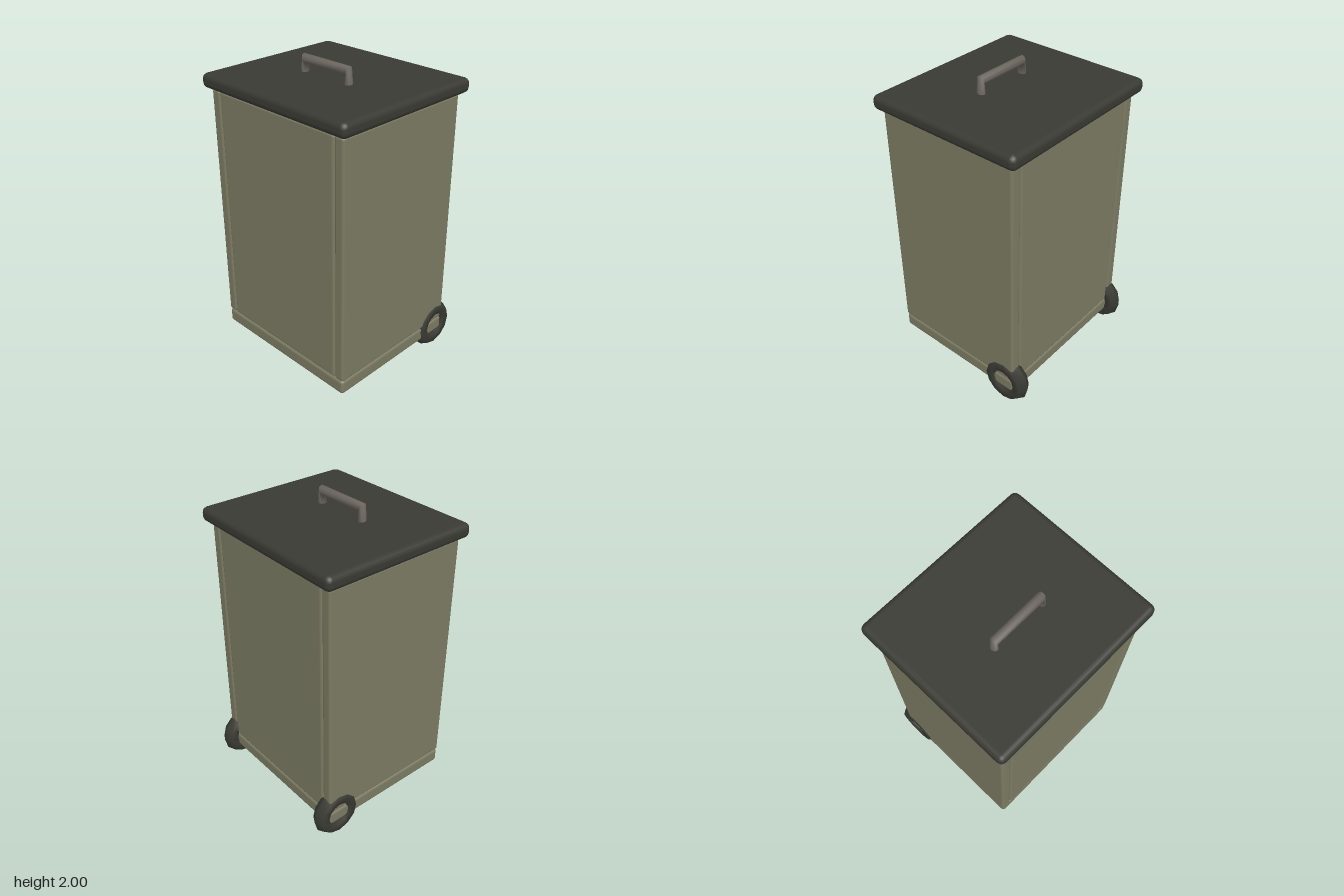
import * as THREE from 'three';
import { RoundedBoxGeometry } from 'three/addons/geometries/RoundedBoxGeometry.js';

const material = (name, color) => {
  const m = new THREE.MeshStandardMaterial({ color });
  m.name = name;
  return m;
};

// Rounded box given by its minimum and maximum corners
function slab(name, min, max, radius, mat) {
  const size = max.map((v, i) => v - min[i]);
  const mesh = new THREE.Mesh(new RoundedBoxGeometry(...size, 2, radius), mat);
  mesh.position.set(...min.map((v, i) => (v + max[i]) / 2));
  mesh.name = name;
  return mesh;
}

// Handle skinned over oval rings: [centre x, centre y, outward x, outward y]
function handleGeometry() {
  const rings = [
    [-0.178, 1.88, -0.024, 0],
    [-0.178, 1.972, -0.008, 0.028],
    [0.178, 1.972, 0.008, 0.028],
    [0.178, 1.88, 0.024, 0],
  ];
  const sides = 8, halfDepth = 0.028, pos = [], index = [];
  rings.forEach(([cx, cy, ux, uy], r) => {
    for (let s = 0; s < sides; s++) {
      const a = (s / sides) * Math.PI * 2;
      pos.push(cx + ux * Math.cos(a), cy + uy * Math.cos(a), halfDepth * Math.sin(a));
      if (r === rings.length - 1) continue;
      const p = r * sides + s, q = r * sides + (s + 1) % sides;
      index.push(p, p + sides, q, q, p + sides, q + sides);
    }
  });
  // Orient faces outward: a positive signed volume means correct winding
  const v = (i) => new THREE.Vector3().fromArray(pos, i * 3).sub(new THREE.Vector3(0, 1.972, 0));
  const a = v(index[sides * 6]), b = v(index[sides * 6 + 1]), c = v(index[sides * 6 + 2]);
  const normal = b.clone().sub(a).cross(c.clone().sub(a));
  if (normal.y < 0) index.reverse();
  const geo = new THREE.BufferGeometry();
  geo.setAttribute('position', new THREE.Float32BufferAttribute(pos, 3));
  geo.setIndex(index);
  geo.computeVertexNormals();
  return geo;
}

export function createModel() {
  const olive = material('olive body', 0x7b7a62);
  const dark = material('dark rubber', 0x3a3a34);
  const metal = material('warm grey metal', 0x6b655f);

  const bin = new THREE.Group();
  bin.name = 'wheeledBin';

  // Floor, front and back walls
  bin.add(
    slab('floor', [-0.548, 0.1, -0.46], [0.548, 0.2, 0.508], 0.022, olive),
    slab('frontWall', [-0.477, 0.2, 0.438], [0.477, 1.795, 0.508], 0.018, olive),
    slab('backWall', [-0.477, 0.2, -0.46], [0.477, 1.795, -0.39], 0.018, olive),
  );

  // Side walls and wheels, mirrored
  const wheelGeo = new THREE.TorusGeometry(0.111, 0.054, 6, 12).rotateY(Math.PI / 2);
  for (const [side, s] of [['left', 1], ['right', -1]]) {
    const xs = [s * 0.479, s * 0.55].sort((a, b) => a - b);
    bin.add(slab(side + 'Wall', [xs[0], 0.2, -0.46], [xs[1], 1.795, 0.508], 0.018, olive));
    const wheel = new THREE.Mesh(wheelGeo, dark);
    wheel.name = side + 'Wheel';
    wheel.position.set(s * 0.51, 0.165, -0.385);
    bin.add(wheel);
  }

  // Lid and handle
  bin.add(slab('lid', [-0.595, 1.8, -0.508], [0.595, 1.892, 0.55], 0.036, dark));
  const handle = new THREE.Mesh(handleGeometry(), metal);
  handle.name = 'handle';
  handle.position.z = 0.088;
  bin.add(handle);

  return bin;
}
